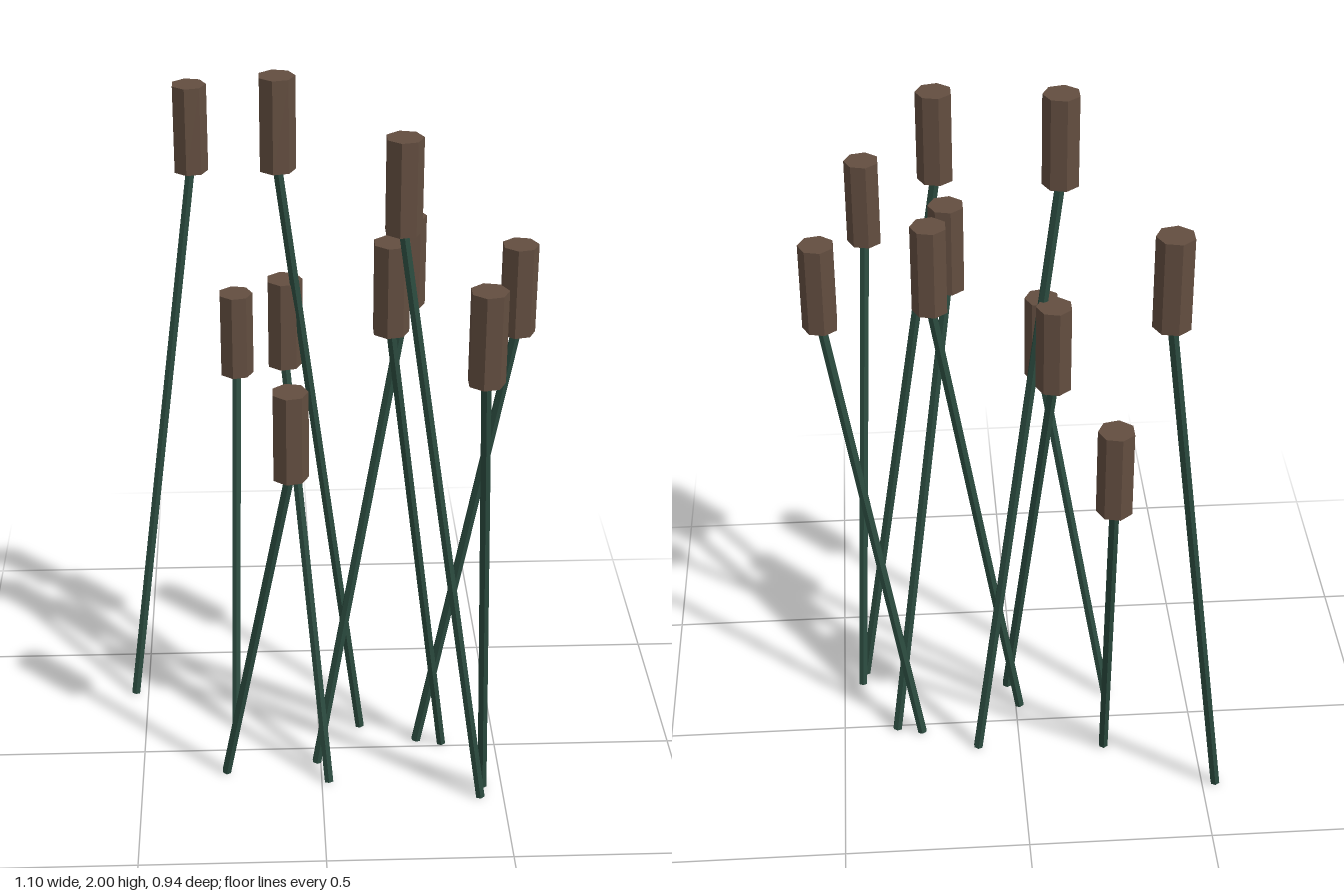
import * as THREE from 'three';

// Each reed: head x, head z, head top y, foot x, foot z
const REEDS = [
  [-0.332, -0.428, 1.84, -0.537, -0.295],
  [-0.219, -0.366, 1.265, -0.239, -0.122],
  [-0.09, -0.06, 1.44, 0.02, 0.157],
  [-0.106, -0.01, 2.0, 0.119, -0.105],
  [-0.084, 0.257, 1.275, -0.266, 0.102],
  [0.22, 0.013, 1.64, -0.011, 0.065],
  [0.171, 0.147, 1.625, 0.348, -0.013],
  [0.194, 0.2, 1.915, 0.436, 0.239],
  [0.383, 0.423, 1.615, 0.446, 0.19],
  [0.501, 0.053, 1.575, 0.277, -0.031],
];
const HEAD_HEIGHT = 0.24, HEAD_RADIUS = 0.047, STEM_RADIUS = 0.0135;

export function createModel() {
  const brown = new THREE.MeshStandardMaterial({ color: 0x634e40, flatShading: true });
  brown.name = 'seedHeadBrown';
  const green = new THREE.MeshStandardMaterial({ color: 0x2b4b3f, flatShading: true });
  green.name = 'stemGreen';

  // Upright seven-sided head, one corner towards +x
  const headGeometry = new THREE.CylinderGeometry(HEAD_RADIUS, HEAD_RADIUS, HEAD_HEIGHT, 7);
  headGeometry.rotateY(Math.PI / 2);

  const model = new THREE.Group();
  model.name = 'cattailReeds';
  const up = new THREE.Vector3(0, 1, 0);

  for (const [hx, hz, top, fx, fz] of REEDS) {
    const reed = new THREE.Group();
    reed.name = 'reed';

    const head = new THREE.Mesh(headGeometry, brown);
    head.name = 'seedHead';
    head.position.set(hx, top - HEAD_HEIGHT / 2, hz);

    // Leaning stem from the ground to just inside the head
    const foot = new THREE.Vector3(fx, 0.003, fz);
    const tip = new THREE.Vector3(hx, top - HEAD_HEIGHT + 0.01, hz);
    const lean = tip.clone().sub(foot);
    const stem = new THREE.Mesh(
      new THREE.CylinderGeometry(STEM_RADIUS, STEM_RADIUS, lean.length(), 6), green);
    stem.name = 'stem';
    stem.position.copy(foot).add(tip).multiplyScalar(0.5);
    stem.quaternion.setFromUnitVectors(up, lean.normalize());

    reed.add(stem, head);
    model.add(reed);
  }
  return model;
}
